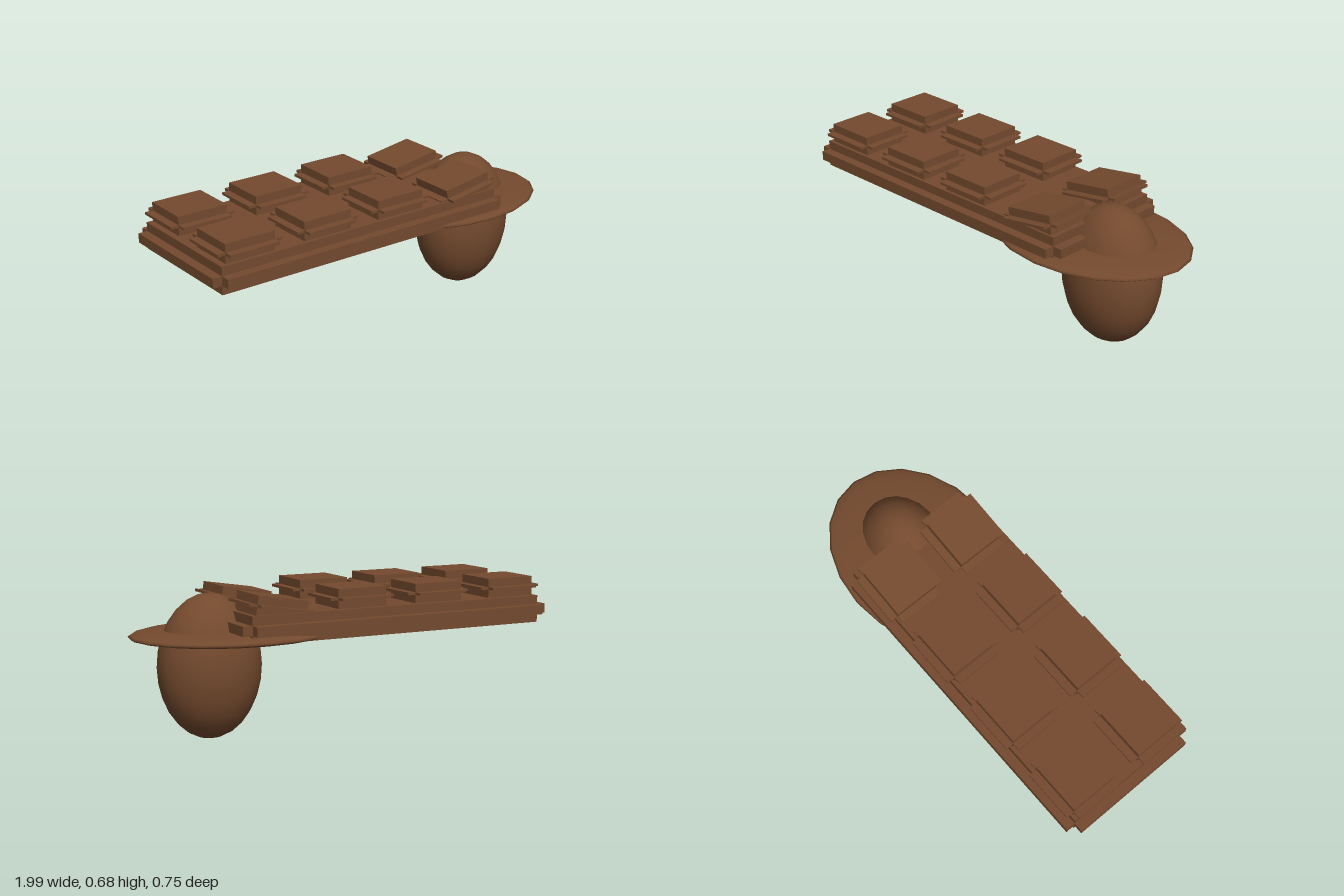
import * as THREE from 'three';

export function createModel() {
  const model = new THREE.Group();
  const brown = new THREE.MeshStandardMaterial({ color: 0x744a2e });
  brown.name = 'brown';

  function box(parent, name, w, h, d, x = 0, y = 0, z = 0) {
    const mesh = new THREE.Mesh(new THREE.BoxGeometry(w, h, d), brown);
    mesh.name = name;
    mesh.position.set(x, y, z);
    parent.add(mesh);
  }

  function ellipsoid(name, rx, ry, rz, x, y) {
    const geometry = new THREE.SphereGeometry(1, 20, 14).scale(rx, ry, rz);
    const mesh = new THREE.Mesh(geometry, brown);
    mesh.name = name;
    mesh.position.set(x, y, 0);
    model.add(mesh);
  }

  // Egg-shaped body passing through a thin oval disc
  ellipsoid('egg', 0.243, 0.332, 0.2, 0.62, 0.334);
  ellipsoid('disc', 0.497, 0.036, 0.376, 0.493, 0.476);

  // Long slab with a middle ledge on all four sides, notched at the corners
  const slab = new THREE.Group();
  slab.name = 'slab';
  slab.position.set(-0.202, 0.528, 0);
  box(slab, 'slabCore', 1.506, 0.128, 0.62);
  box(slab, 'endLedges', 1.596, 0.044, 0.618);
  box(slab, 'sideLedges', 1.504, 0.044, 0.71);
  model.add(slab);

  // Two rows of four blocks; the last pair is sunk in and tilted up
  for (const side of [-1, 1]) {
    for (let i = 0; i < 4; i++) {
      const tilted = i === 3;
      const block = new THREE.Group();
      block.name = tilted ? 'tiltedBlock' : 'block';
      block.position.set(-0.804 + i * 0.401, tilted ? 0.616 : 0.64, side * 0.1875);
      block.rotation.z = tilted ? 0.157 : 0;
      box(block, 'blockCore', 0.248, 0.09, 0.223);
      box(block, 'blockEndFlanges', 0.324, 0.012, 0.222);
      box(block, 'blockSideFlanges', 0.247, 0.012, 0.3);
      model.add(block);
    }
  }

  return model;
}
